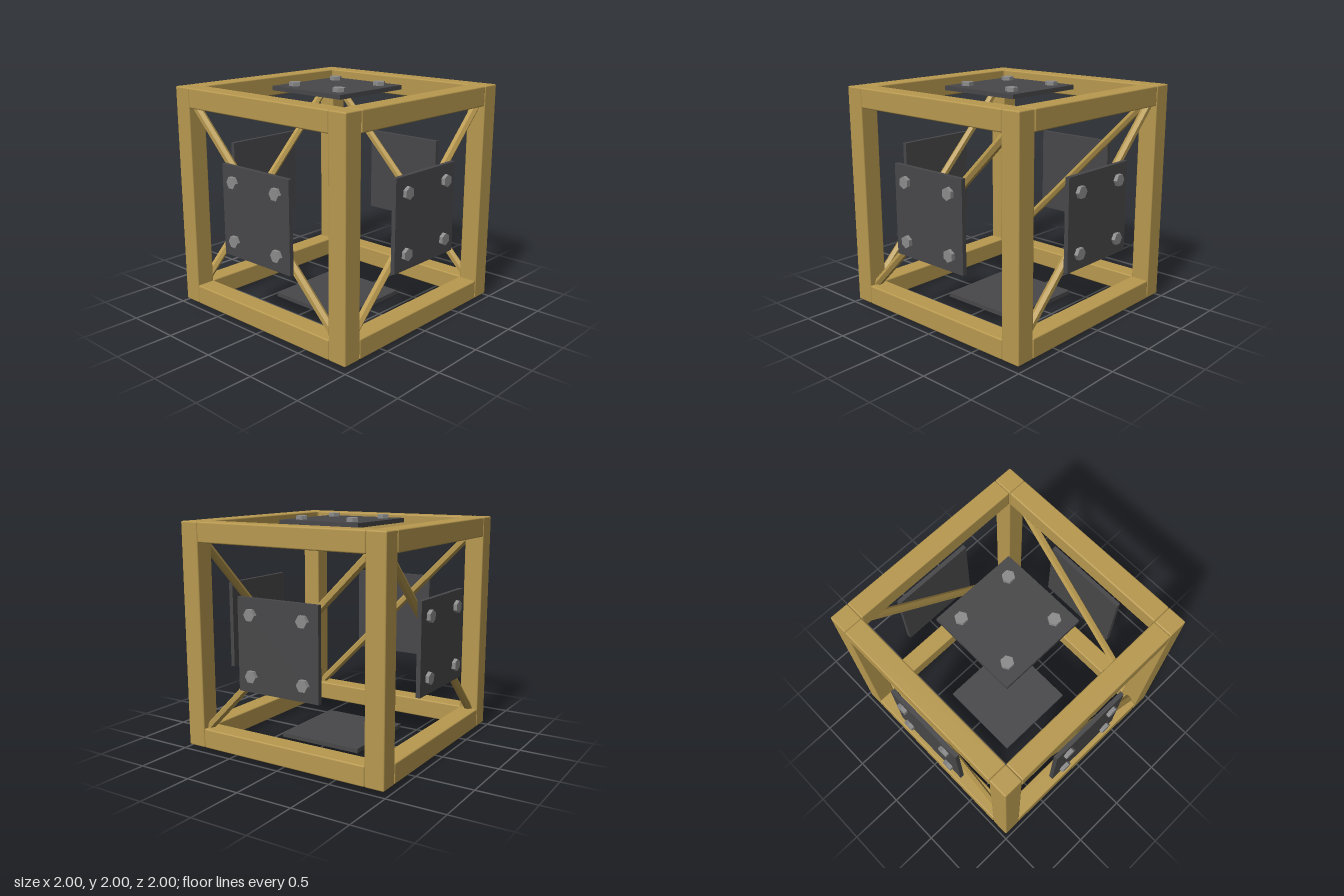
import * as THREE from 'three';
import { RoundedBoxGeometry } from 'three/addons/geometries/RoundedBoxGeometry.js';

const BEAM = 0.172;   // beam thickness
const HALF = 0.97;    // half size of the frame
const MID = HALF - BEAM / 2;
const INNER = 2 * (HALF - BEAM);

export function createModel() {
  const model = new THREE.Group();
  const brass = new THREE.MeshStandardMaterial({ color: 0xb8994f });
  const brassFlat = new THREE.MeshStandardMaterial({ color: 0xb8994f, flatShading: true });
  const dark = new THREE.MeshStandardMaterial({ color: 0x48484a });
  const steel = new THREE.MeshStandardMaterial({ color: 0x8c8c8c, flatShading: true });

  // everything is laid out around the centre of the cube, at y = 1
  const cube = new THREE.Group();
  cube.name = 'openCube';
  cube.position.y = 1;
  model.add(cube);

  function add(parent, name, geometry, material, x, y, z) {
    const mesh = new THREE.Mesh(geometry, material);
    mesh.name = name;
    mesh.position.set(x, y, z);
    parent.add(mesh);
    return mesh;
  }

  // frame: full-height posts with rails fitted between them
  const post = new RoundedBoxGeometry(BEAM, 2 * HALF, BEAM, 2, 0.012);
  const railX = new RoundedBoxGeometry(INNER, BEAM, BEAM, 2, 0.012);
  const railZ = new RoundedBoxGeometry(BEAM, BEAM, INNER, 2, 0.012);
  for (const a of [-MID, MID]) {
    for (const b of [-MID, MID]) {
      add(cube, 'cornerPost', post, brass, a, 0, b);
      add(cube, 'crossRail', railX, brass, 0, a, b);
      add(cube, 'sideRail', railZ, brass, a, b, 0);
    }
  }

  // six-sided diagonal braces on the four upright faces
  const brace = new THREE.CylinderGeometry(0.037, 0.037, 1.66 * Math.SQRT2, 6);
  for (const s of [-MID, MID]) {
    add(cube, 'crossBrace', brace, brassFlat, 0, 0, s).rotation.z = -Math.PI / 4;
    add(cube, 'sideBrace', brace, brassFlat, s, 0, 0).rotation.x = -Math.PI / 4;
  }

  // bolted plate centred on each face, built facing +y and then turned
  const plate = new THREE.BoxGeometry(0.78, 0.038, 0.78);
  const bolt = new THREE.CylinderGeometry(0.054, 0.054, 0.05, 6);
  const q = Math.PI / 2;
  const faces = [
    ['top', 0, 0, 0],
    ['bottom', Math.PI, q, 0],
    ['front', q, 0, 0],
    ['back', -q, 0, 0],
    ['left', 0, 0, -q],
    ['right', 0, 0, q],
  ];
  for (const [name, rx, ry, rz] of faces) {
    const panel = new THREE.Group();
    panel.name = name + 'Panel';
    panel.rotation.set(rx, ry, rz);
    add(panel, 'plate', plate, dark, 0, 0.948, 0);
    for (const x of [-0.253, 0.253]) {
      for (const z of [-0.253, 0.253]) add(panel, 'hexBolt', bolt, steel, x, 0.975, z);
    }
    cube.add(panel);
  }

  return model;
}
